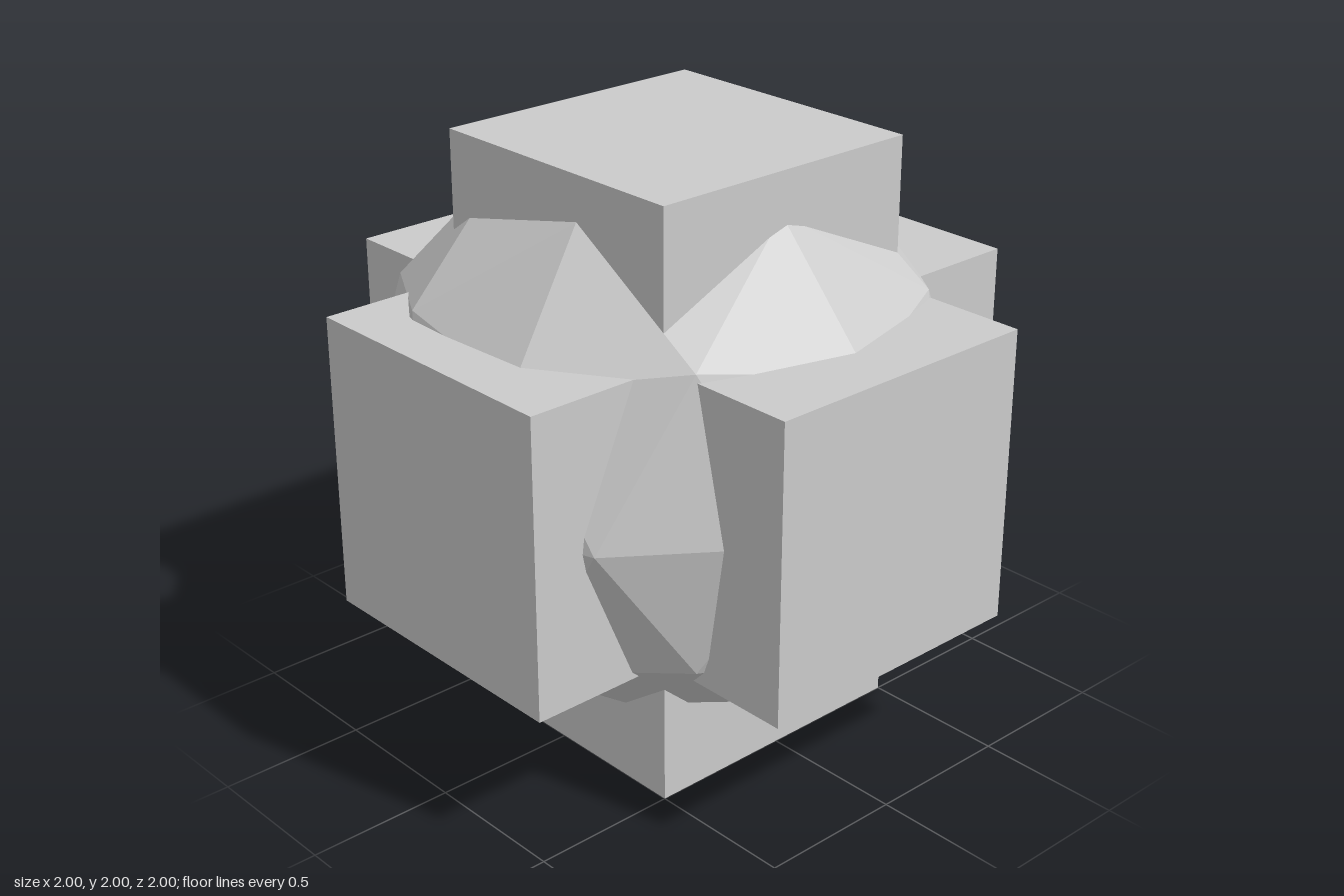
import * as THREE from 'three';

export function createModel() {
  const group = new THREE.Group();
  const material = new THREE.MeshStandardMaterial({ color: 0xcccccc, flatShading: true });

  const add = (name, geometry, x = 0) => {
    const mesh = new THREE.Mesh(geometry, material);
    mesh.name = name;
    mesh.position.set(x, 1, 0);
    group.add(mesh);
  };

  // three square bars crossing at the centre
  add('sideBar', new THREE.BoxGeometry(2, 1, 1));
  add('uprightBar', new THREE.BoxGeometry(1, 2, 1));
  add('frontBackBar', new THREE.BoxGeometry(1, 1, 2));

  // faceted ball, tilted so that one five-sided corner points straight up
  const golden = (1 + Math.sqrt(5)) / 2;
  const ball = new THREE.IcosahedronGeometry(1, 1);
  ball.rotateZ(-Math.atan(1 / golden));
  ball.computeVertexNormals();
  add('facetedBall', ball, -0.05);

  return group;
}
